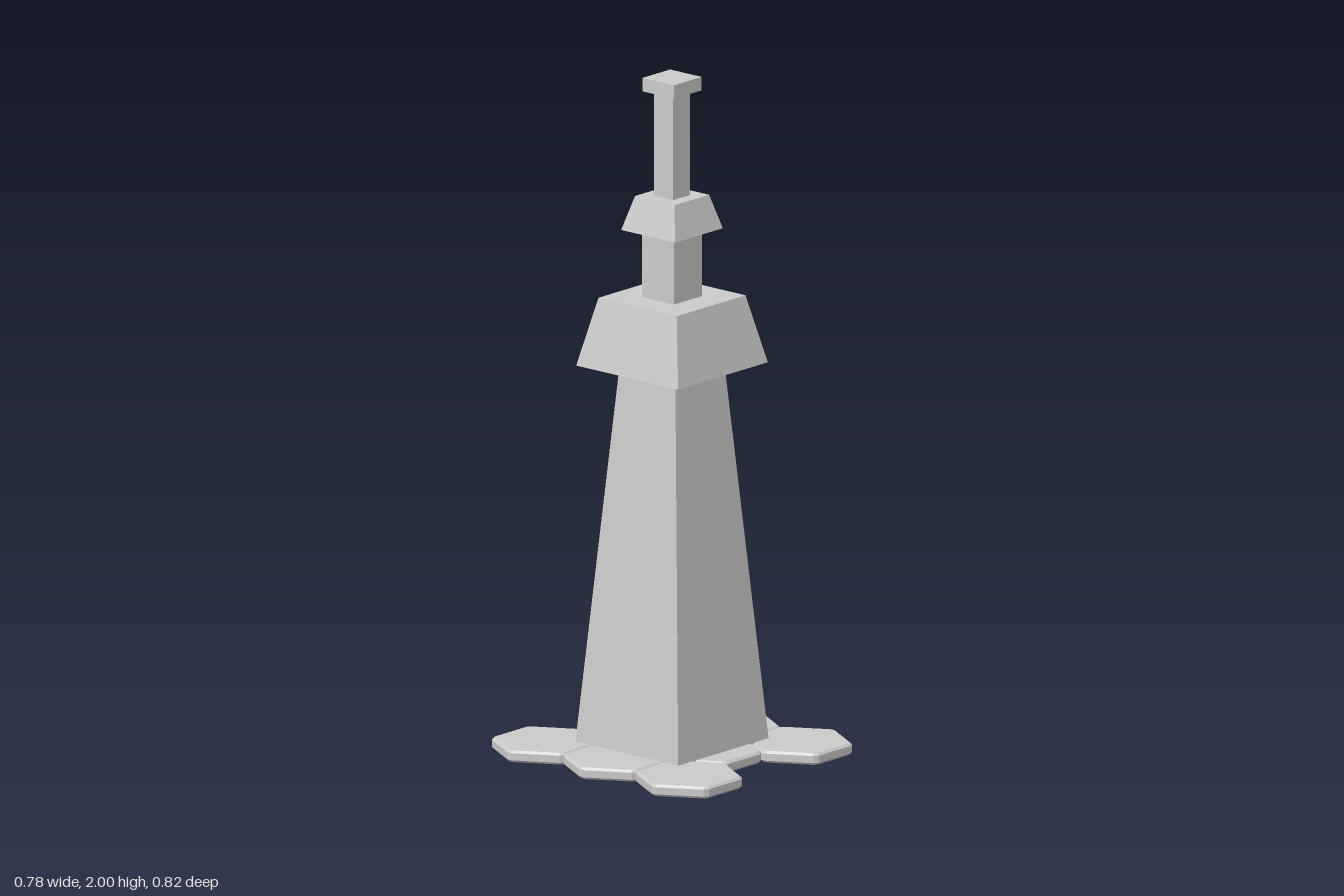
import * as THREE from 'three';

const material = new THREE.MeshStandardMaterial({ color: 0xcccccc, flatShading: true });

// Square block that tapers from half-width a (at y0) to half-width b (at y1)
function block(name, y0, y1, a, b) {
  const geometry = new THREE.CylinderGeometry(b * Math.SQRT2, a * Math.SQRT2, y1 - y0, 4);
  geometry.rotateY(Math.PI / 4);
  const mesh = new THREE.Mesh(geometry, material);
  mesh.name = name;
  mesh.position.y = (y0 + y1) / 2;
  return mesh;
}

// Bevelled hexagonal slab with clipped corners, lying on y = 0
function hexGeometry(radius, height, bevel, clip) {
  const corner = (i) => new THREE.Vector2(Math.cos(i * Math.PI / 3), Math.sin(i * Math.PI / 3)).multiplyScalar(radius);
  const points = [];
  for (let i = 0; i < 6; i++) {
    points.push(corner(i).lerp(corner(i - 1), clip), corner(i).lerp(corner(i + 1), clip));
  }
  const geometry = new THREE.ExtrudeGeometry(new THREE.Shape(points), {
    depth: height - 2 * bevel, bevelEnabled: true, bevelSegments: 1,
    bevelThickness: bevel, bevelSize: bevel, bevelOffset: -bevel,
  });
  geometry.translate(0, 0, bevel);
  geometry.rotateX(-Math.PI / 2);
  return geometry;
}

export function createModel() {
  const model = new THREE.Group();
  model.name = 'tower';

  // Paving: three slabs in each side column, two in the middle one
  const paving = new THREE.Group();
  paving.name = 'paving';
  const slab = hexGeometry(0.158, 0.035, 0.007, 0.06);
  const columns = [[-0.238, [-1, 0, 1]], [0, [-0.5, 0.5]], [0.238, [-1, 0, 1]]];
  for (const [x, rows] of columns) {
    for (const row of rows) {
      const mesh = new THREE.Mesh(slab, material);
      mesh.name = 'hexSlab';
      mesh.position.set(x, 0, row * 0.274);
      paving.add(mesh);
    }
  }
  model.add(paving);

  // Stacked tower sections
  model.add(
    block('mainShaft', 0.03, 1.15, 0.196, 0.106),
    block('lowerRoof', 1.15, 1.35, 0.194, 0.149),
    block('upperShaft', 1.35, 1.55, 0.061, 0.061),
    block('upperRoof', 1.55, 1.65, 0.103, 0.075),
    block('post', 1.65, 1.96, 0.036, 0.036),
    block('postCap', 1.96, 2, 0.06, 0.06),
  );
  return model;
}
